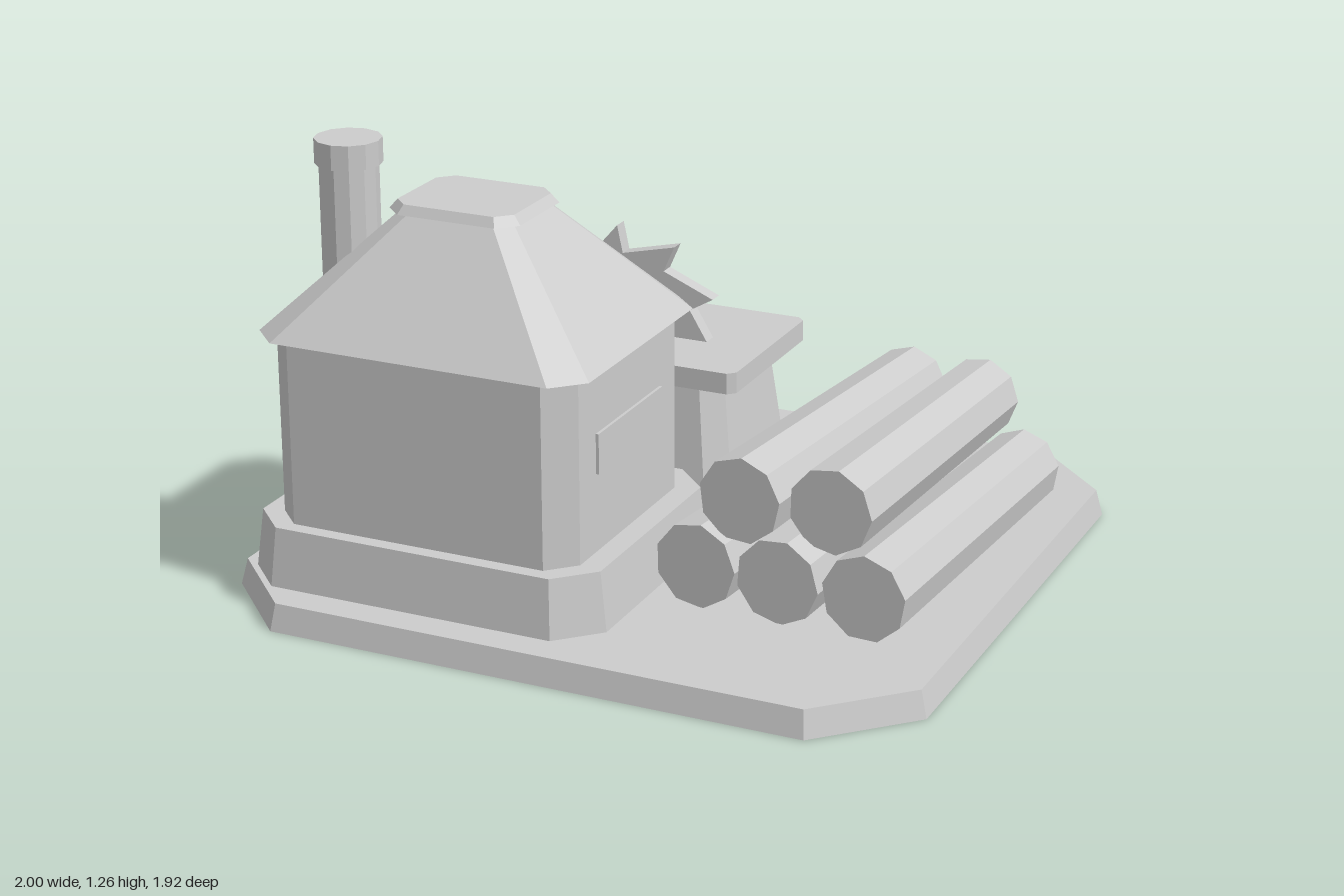
import * as THREE from 'three';

const gray = new THREE.MeshStandardMaterial({ color: 0xcccccc, flatShading: true, side: THREE.DoubleSide });
gray.name = 'stone gray';

function add(parent, name, geometry, x = 0, y = 0, z = 0) {
  const mesh = new THREE.Mesh(geometry, gray);
  mesh.name = name;
  mesh.position.set(x, y, z);
  parent.add(mesh);
  return mesh;
}

// Shell with cut corners, open below; each level is [y, x0, x1, z0, z1, cornerCut], bottom to top
function cutBlock(levels) {
  const pos = [], index = [];
  for (const [y, x0, x1, z0, z1, c] of levels) {
    const ring = [[x1, z0 + c], [x1, z1 - c], [x1 - c, z1], [x0 + c, z1],
      [x0, z1 - c], [x0, z0 + c], [x0 + c, z0], [x1 - c, z0]];
    for (const [x, z] of ring) pos.push(x, y, z);
  }
  for (let l = 0; l < levels.length - 1; l++) {
    for (let i = 0; i < 8; i++) {
      const a = l * 8 + i, b = l * 8 + (i + 1) % 8;
      index.push(a, a + 8, b, b, a + 8, b + 8);
    }
  }
  const top = (levels.length - 1) * 8;
  for (let i = 1; i < 7; i++) index.push(top, top + i + 1, top + i);
  const g = new THREE.BufferGeometry();
  g.setAttribute('position', new THREE.Float32BufferAttribute(pos, 3));
  g.setIndex(index);
  g.computeVertexNormals();
  return g;
}

// Round plate or pin whose axis runs along z
function disc(radius, depth, sides, backRadius = radius) {
  return new THREE.CylinderGeometry(radius, backRadius, depth, sides).rotateX(Math.PI / 2);
}

function buildHouse() {
  const house = new THREE.Group();
  house.name = 'house';
  add(house, 'plinth', cutBlock([
    [0.075, -0.935, 0.12, -0.015, 0.85, 0.11],
    [0.24, -0.915, 0.1, 0.003, 0.832, 0.1]]));
  add(house, 'walls', cutBlock([
    [0.24, -0.855, 0.035, 0.06, 0.79, 0.072],
    [0.76, -0.855, 0.035, 0.06, 0.79, 0.072]]));
  add(house, 'roof', cutBlock([
    [0.758, -0.895, 0.077, 0.025, 0.82, 0.08],
    [1.08, -0.57, -0.245, 0.285, 0.565, 0.04]]));
  add(house, 'roofCap', cutBlock([
    [1.077, -0.605, -0.218, 0.26, 0.585, 0.05],
    [1.103, -0.583, -0.238, 0.28, 0.57, 0.04]]));

  // Chimney
  add(house, 'chimneyPipe', new THREE.CylinderGeometry(0.08, 0.08, 0.42, 12), -0.723, 0.985, 0.537);
  add(house, 'chimneyCap', new THREE.CylinderGeometry(0.091, 0.091, 0.068, 12), -0.723, 1.222, 0.537);

  // Windows
  add(house, 'sideWindow', new THREE.BoxGeometry(0.009, 0.112, 0.39), 0.039, 0.515, 0.425);
  for (const side of [-1, 1]) {
    add(house, 'backWindow', new THREE.BoxGeometry(0.14, 0.112, 0.009), -0.41 + side * 0.295, 0.515, 0.056);
  }

  // Back door with lintel and emblem wheel
  add(house, 'door', new THREE.BoxGeometry(0.26, 0.37, 0.03), -0.41, 0.425, 0.05);
  for (const side of [-1, 1]) {
    add(house, 'doorPost', new THREE.BoxGeometry(0.045, 0.37, 0.045), -0.41 + side * 0.15, 0.425, 0.045);
  }
  add(house, 'doorKnob', disc(0.03, 0.014, 8), -0.41, 0.47, 0.03);
  add(house, 'lintel', new THREE.BoxGeometry(0.39, 0.05, 0.06), -0.41, 0.632, 0.03);
  add(house, 'wheelStem', new THREE.BoxGeometry(0.04, 0.1, 0.02), -0.41, 0.69, 0.035);
  add(house, 'wheel', disc(0.092, 0.025, 10), -0.41, 0.785, 0.038);
  add(house, 'wheelHub', disc(0.035, 0.02, 8), -0.41, 0.785, 0.018);
  return house;
}

function buildSawTable() {
  const table = new THREE.Group();
  table.name = 'sawTable';
  add(table, 'tableBody', cutBlock([
    [0.075, -0.81, 0.03, -0.722, -0.21, 0.06],
    [0.41, -0.77, -0.01, -0.682, -0.25, 0.055]]));
  add(table, 'tableTop', cutBlock([
    [0.4, -0.845, 0.065, -0.732, -0.2, 0.022],
    [0.462, -0.845, 0.065, -0.732, -0.2, 0.022]]));

  // Toothed blade, each tooth steep on one side
  const teeth = 10, step = Math.PI * 2 / teeth, shape = new THREE.Shape();
  for (let i = 0; i < teeth; i++) {
    const a = Math.PI / 2 + 0.08 + i * step, root = a - step * 0.08;
    const start = [Math.cos(root) * 0.22, Math.sin(root) * 0.22];
    if (i === 0) shape.moveTo(...start); else shape.lineTo(...start);
    shape.lineTo(Math.cos(a) * 0.303, Math.sin(a) * 0.303);
  }
  shape.closePath();
  add(table, 'sawBlade', new THREE.ExtrudeGeometry(shape, { depth: 0.045, bevelEnabled: false }), -0.378, 0.477, -0.465);
  add(table, 'bladeHub', disc(0.085, 0.022, 10, 0.075), -0.385, 0.482, -0.476);
  add(table, 'bladeBolt', disc(0.035, 0.018, 8), -0.385, 0.482, -0.495);
  return table;
}

// Tapered log between a front and a back centre, with rim and core on its back end
function buildLog(frontX, backX, y, frontZ, backZ, turn) {
  const log = new THREE.Group();
  log.name = 'log';
  const length = Math.hypot(frontX - backX, frontZ - backZ);
  add(log, 'trunk', disc(0.12, length - 0.02, 9, 0.11).rotateZ(turn), 0, 0, 0.01);
  add(log, 'endBevel', disc(0.11, 0.02, 9, 0.092).rotateZ(turn), 0, 0, -length / 2 + 0.01);
  add(log, 'endRing', disc(0.075, 0.01, 9).rotateZ(turn), 0, 0, -length / 2 - 0.002);
  add(log, 'endCore', disc(0.032, 0.012, 8), 0, 0, -length / 2 - 0.007);
  log.position.set((frontX + backX) / 2, y, (frontZ + backZ) / 2);
  log.rotation.y = Math.atan2(frontX - backX, frontZ - backZ);
  return log;
}

export function createModel() {
  const model = new THREE.Group();
  model.name = 'sawmill';
  add(model, 'base', cutBlock([
    [0, -1, 1, -0.96, 0.96, 0.235],
    [0.075, -0.982, 0.982, -0.942, 0.942, 0.225]]));
  model.add(buildHouse(), buildSawTable());

  // Log pile
  const logs = new THREE.Group();
  logs.name = 'logPile';
  const layout = [
    [0.26, 0.368, 0.191, 0.495, -0.56, 0.2],
    [0.498, 0.58, 0.191, 0.505, -0.56, 0.1],
    [0.742, 0.818, 0.191, 0.51, -0.555, 0.35],
    [0.377, 0.475, 0.388, 0.475, -0.56, 0.3],
    [0.618, 0.688, 0.385, 0.44, -0.56, 0.15]];
  for (const l of layout) logs.add(buildLog(...l));
  model.add(logs);
  return model;
}
